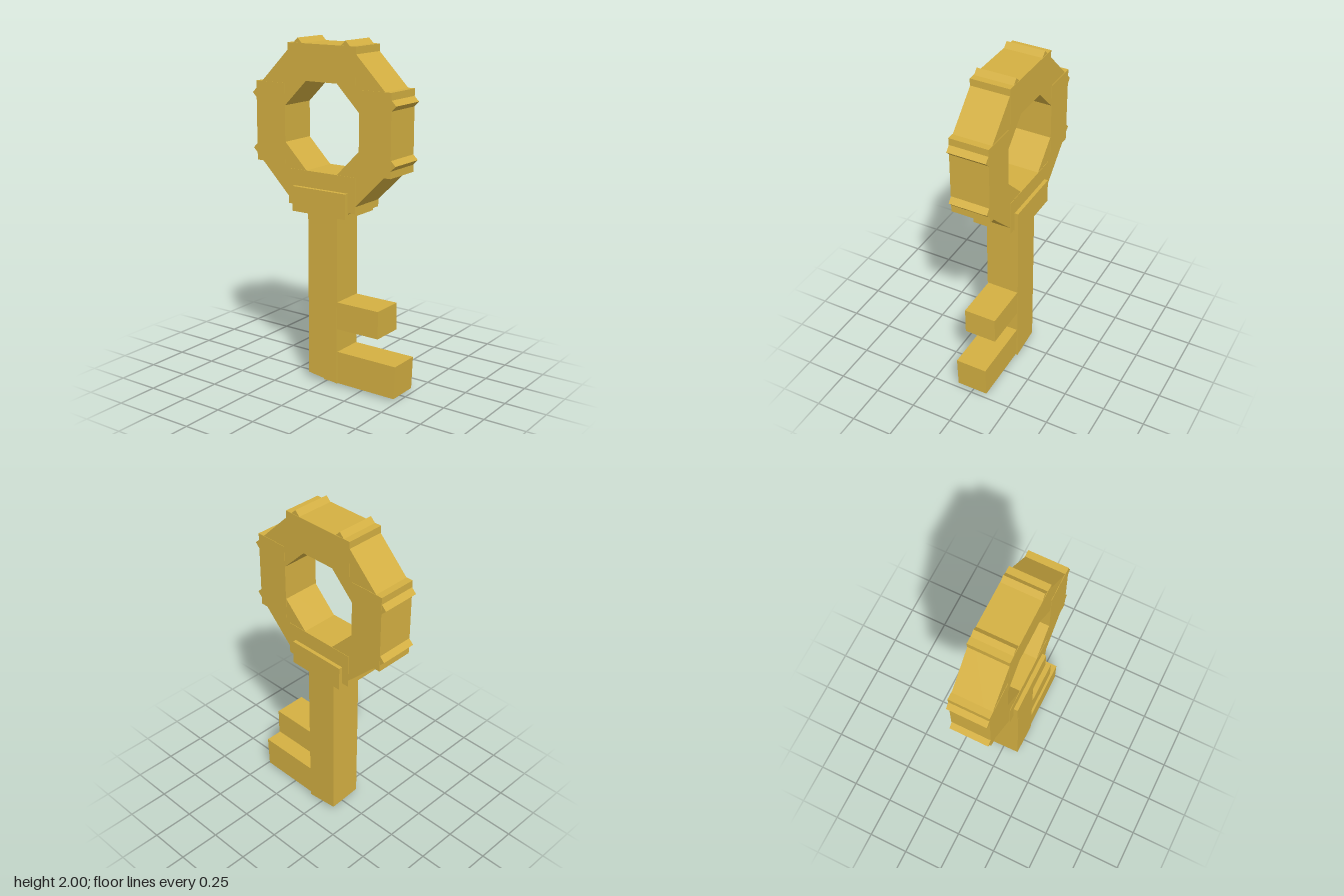
import * as THREE from 'three';

export function createModel() {
  const group = new THREE.Group();
  const gold = new THREE.MeshStandardMaterial({ color: 0xd4b042 });
  gold.name = 'gold';

  function add(name, geometry) {
    const mesh = new THREE.Mesh(geometry, gold);
    mesh.name = name;
    group.add(mesh);
    return mesh;
  }

  // Box given by its limits on each axis
  function block(name, x0, x1, y0, y1, z0, z1) {
    const g = new THREE.BoxGeometry(x1 - x0, y1 - y0, z1 - z0);
    g.translate((x0 + x1) / 2, (y0 + y1) / 2, (z0 + z1) / 2);
    return add(name, g);
  }

  // Move corners by a rule, then restore flat normals
  function reshape(mesh, rule) {
    const p = mesh.geometry.attributes.position;
    const v = new THREE.Vector3();
    for (let i = 0; i < p.count; i++) {
      rule(v.fromBufferAttribute(p, i));
      p.setXYZ(i, v.x, v.y, v.z);
    }
    mesh.geometry.computeVertexNormals();
  }

  // Bow: eight overlapping blocks around an octagonal hole
  const inner = 0.252, outer = 0.457;
  for (let i = 0; i < 8; i++) {
    const a = (i * Math.PI) / 4;
    const depth = i % 2 ? 0.228 : 0.232;
    const g = new THREE.BoxGeometry(0.46, outer - inner, depth);
    g.translate(0, (inner + outer) / 2, 0);
    const segment = add('bowSegment' + (i + 1), g);
    segment.position.set(-0.005, 1.512, -0.002);
    segment.rotation.z = a;
  }

  // Collar between bow and shaft
  block('collar', -0.19, 0.175, 1.02, 1.165, -0.14, 0.138);

  // Shaft with a slanted lower end
  const shaft = block('shaft', -0.105, 0.095, 0.02, 1.1, -0.098, 0.104);
  reshape(shaft, (v) => {
    if (v.y < 0.5) v.y = 0.02 + (v.x < 0 ? 0.025 : 0) - (v.z < 0 ? 0.018 : 0.003);
  });

  // Teeth
  block('upperTooth', 0, 0.373, 0.352, 0.514, -0.095, 0.1);
  const lowerTooth = block('lowerTooth', 0, 0.485, 0.018, 0.212, -0.093, 0.097);
  reshape(lowerTooth, (v) => {
    if (v.x > 0.2) v.x += v.y > 0.1 ? 0.004 : -0.004;
  });

  return group;
}
